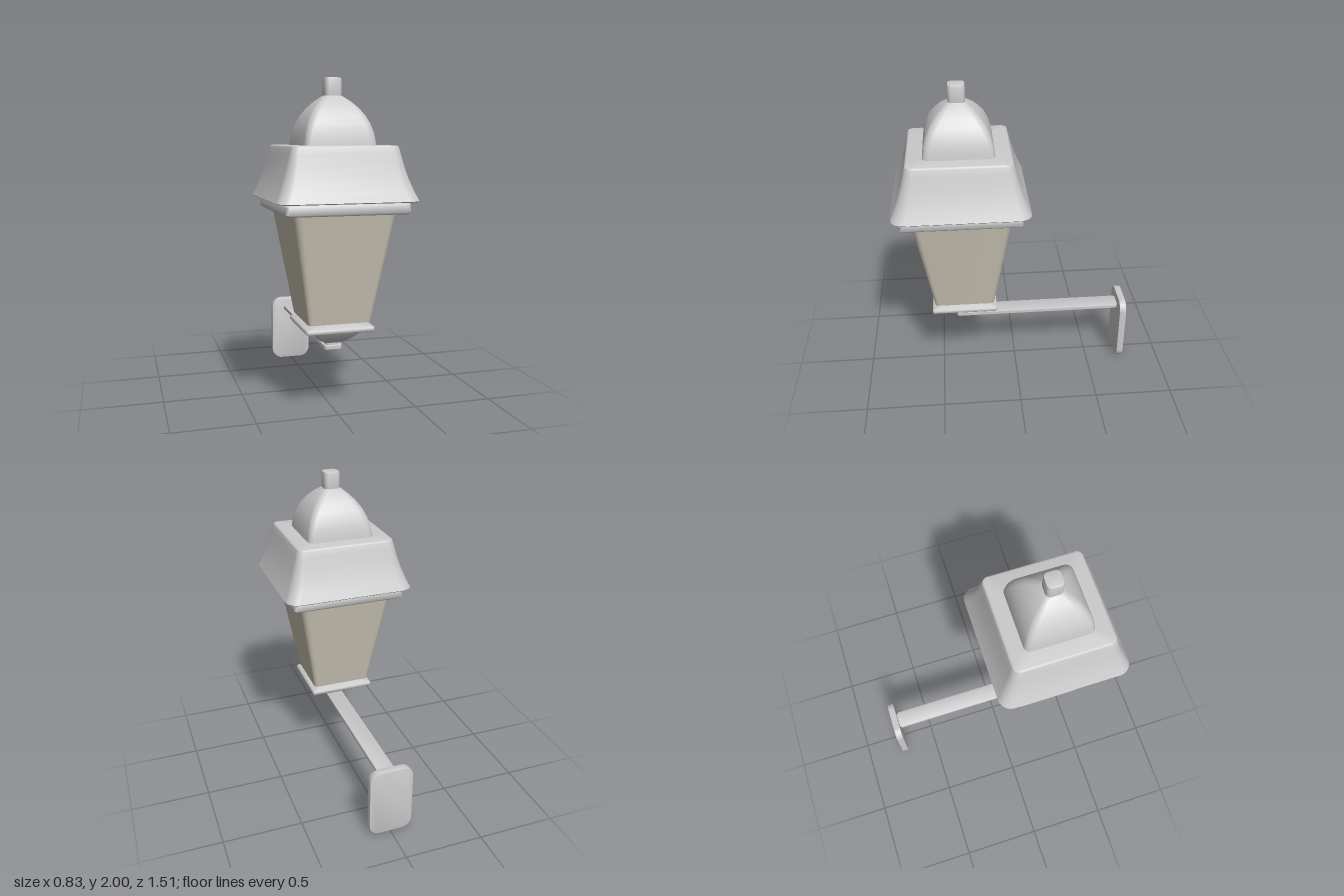
import * as THREE from 'three';
import { toCreasedNormals } from 'three/addons/utils/BufferGeometryUtils.js';

const LAMP_Z = 0.34; // axis of the lantern
const CORNER_STEPS = 6;

// Rounded-square outline, running counter-clockwise seen from above
function ring(half, y, radius) {
  const r = Math.min(radius, half);
  const points = [];
  for (let c = 0; c < 4; c++) {
    const mid = Math.PI / 4 + c * Math.PI / 2;
    const cx = Math.sign(Math.cos(mid)) * (half - r);
    const cz = Math.sign(Math.sin(mid)) * (half - r);
    for (let i = 0; i <= CORNER_STEPS; i++) {
      const a = (c + i / CORNER_STEPS) * Math.PI / 2;
      points.push([cx + r * Math.cos(a), y, -(cz + r * Math.sin(a))]);
    }
  }
  return points;
}

// Skin rounded squares [halfWidth, y, cornerRadius] from bottom to top, ends closed
function loft(profile, crease = 0.6) {
  const rings = profile.map(p => ring(...p));
  const n = rings[0].length;
  rings.unshift(rings[0].map(() => [0, profile[0][1], 0]));
  rings.push(rings[0].map(() => [0, profile[profile.length - 1][1], 0]));
  const index = [];
  for (let j = 0; j < rings.length - 1; j++) {
    for (let i = 0; i < n; i++) {
      const k = (i + 1) % n;
      const a = j * n + i, b = j * n + k, c = a + n, d = b + n;
      if (j > 0) index.push(a, b, d);
      if (j < rings.length - 2) index.push(a, d, c);
    }
  }
  const geometry = new THREE.BufferGeometry();
  geometry.setAttribute('position', new THREE.Float32BufferAttribute(rings.flat(2), 3));
  geometry.setIndex(index);
  return toCreasedNormals(geometry, crease);
}

// Flat square slab with softened edges
function slab(half, y0, y1, radius, e = 0.006) {
  return loft([[half - e, y0, radius], [half, y0 + e, radius], [half, y1 - e, radius], [half - e, y1, radius]], 0.9);
}

// Rounded rectangle, thickened along z with a small bevel
function roundedPlate(w, h, r, depth, bevel) {
  const x = w / 2 - bevel, y = h / 2 - bevel;
  const s = new THREE.Shape();
  s.absarc(x - r, y - r, r, 0, Math.PI / 2);
  s.absarc(-x + r, y - r, r, Math.PI / 2, Math.PI);
  s.absarc(-x + r, -y + r, r, Math.PI, Math.PI * 1.5);
  s.absarc(x - r, -y + r, r, Math.PI * 1.5, Math.PI * 2);
  const g = new THREE.ExtrudeGeometry(s, {
    depth: depth - 2 * bevel, bevelSize: bevel, bevelThickness: bevel, bevelSegments: 2, curveSegments: 8,
  });
  g.center();
  return toCreasedNormals(g, 0.6);
}

export function createModel() {
  const group = new THREE.Group();
  const metal = new THREE.MeshStandardMaterial({ color: 0xcccccc });
  const glass = new THREE.MeshStandardMaterial({ color: 0xccc6b6 });
  const add = (name, geometry, y = 0, z = LAMP_Z, material = metal) => {
    const mesh = new THREE.Mesh(geometry, material);
    mesh.name = name;
    mesh.position.set(0, y, z);
    group.add(mesh);
    return mesh;
  };

  // Wall mounting
  add('wallPlate', roundedPlate(0.28, 0.46, 0.065, 0.045, 0.005), 0.23, -0.7325);
  const arm = add('arm', roundedPlate(0.114, 1.11, 0.02, 0.026, 0.004), 0.39, -0.157);
  arm.rotation.x = Math.PI / 2;

  // Bowl and plate under the glass
  add('bowl', loft([
    [0.042, 0.4, 0.015], [0.042, 0.416, 0.015], [0.055, 0.42, 0.02], [0.085, 0.437, 0.025],
    [0.115, 0.461, 0.03], [0.138, 0.487, 0.03], [0.155, 0.518, 0.03],
  ]));
  add('basePlate', slab(0.21, 0.515, 0.545, 0.012));

  // Tapered glass shade
  add('glass', loft([[0.192, 0.57, 0.025], [0.305, 1.23, 0.045]]), 0, LAMP_Z, glass);

  // Collar and flared roof
  add('collar', slab(0.365, 1.225, 1.291, 0.025, 0.01));
  add('roof', loft([
    [0.41, 1.295, 0.08], [0.415, 1.3, 0.08], [0.388, 1.36, 0.075], [0.364, 1.425, 0.07],
    [0.342, 1.495, 0.06], [0.325, 1.56, 0.05], [0.315, 1.598, 0.045],
    [0.311, 1.607, 0.042], [0.3, 1.61, 0.04],
  ], 0.9));

  // Dome and finial
  add('dome', loft([
    [0.215, 1.605, 0.04], [0.212, 1.63, 0.04], [0.204, 1.68, 0.042], [0.189, 1.73, 0.045],
    [0.165, 1.78, 0.045], [0.132, 1.826, 0.042], [0.095, 1.863, 0.036], [0.062, 1.888, 0.03], [0.05, 1.897, 0.028],
  ]));
  add('finial', loft([
    [0.05, 1.88, 0.028], [0.052, 1.9, 0.03], [0.052, 1.988, 0.03], [0.049, 1.997, 0.028], [0.04, 2, 0.025],
  ], 0.9));

  return group;
}
